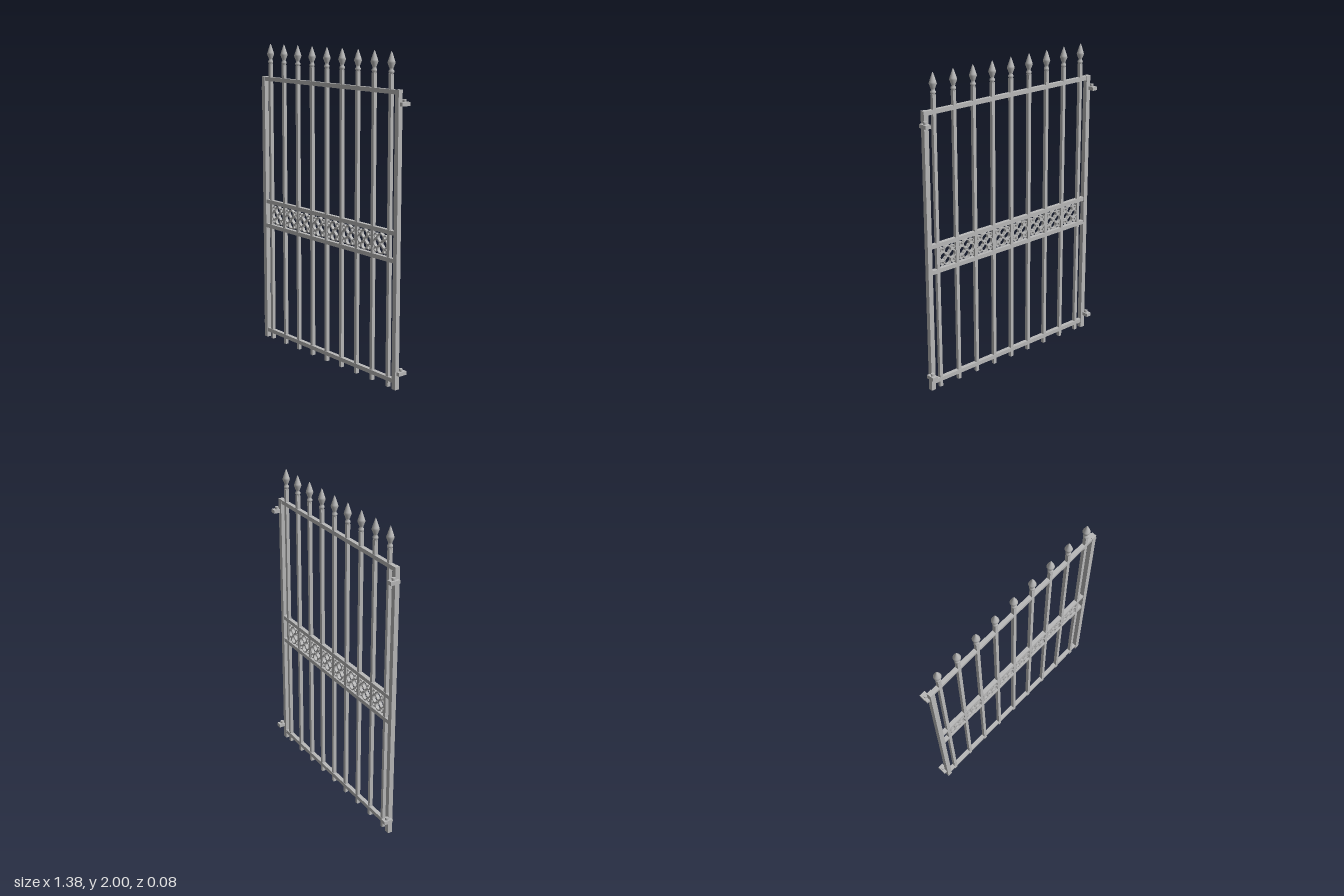
import * as THREE from 'three';

export function createModel() {
  const gate = new THREE.Group();
  gate.name = 'gate';
  const iron = new THREE.MeshStandardMaterial({ color: 0xbababa });
  iron.name = 'grey iron';
  const Z = 0.016; // plane of the gate leaf

  const add = (name, geometry, x, y, z, parent = gate) => {
    const mesh = new THREE.Mesh(geometry, iron);
    mesh.name = name;
    mesh.position.set(x, y, z);
    parent.add(mesh);
    return mesh;
  };

  // Flat-sided ring bent from strip, centred on its depth
  const stripRing = (outer, inner, depth) => {
    const shape = new THREE.Shape().absarc(0, 0, outer, 0, Math.PI * 2);
    shape.holes.push(new THREE.Path().absarc(0, 0, inner, 0, Math.PI * 2, true));
    const geometry = new THREE.ExtrudeGeometry(shape, { depth, bevelEnabled: false, curveSegments: 24 });
    return geometry.translate(0, 0, -depth / 2);
  };

  // Side posts
  const postGeo = new THREE.BoxGeometry(0.032, 1.785, 0.03);
  for (const s of [-1, 1]) add('sidePost', postGeo, s * 0.655, 1.785 / 2, Z);

  // Horizontal rails
  const railGeo = new THREE.BoxGeometry(1.29, 0.026, 0.026);
  for (const y of [0.052, 0.785, 0.951, 1.77]) add('rail', railGeo, 0, y, Z);

  // Upright square bars with spear heads
  const step = 0.1475;
  const barGeo = new THREE.BoxGeometry(0.022, 1.87, 0.022);
  const spearProfile = [
    [0.011, 1.855], [0.012, 1.872], [0.0165, 1.878], [0.0165, 1.887],
    [0.0105, 1.895], [0.0125, 1.904], [0.0235, 1.932], [0.0205, 1.943],
    [0.0125, 1.968], [0.005, 1.99], [0, 2],
  ].map(([r, y]) => new THREE.Vector2(r, y));
  const spearGeo = new THREE.LatheGeometry(spearProfile, 20);
  for (let i = -4; i <= 4; i++) {
    add('uprightBar', barGeo, i * step, 0.935, Z);
    add('spearHead', spearGeo, i * step, 0, Z);
  }

  // Ornamental band: four petal rings with small corner rings in each bay
  const petalGeo = stripRing(0.03, 0.0225, 0.02);
  const cornerGeo = stripRing(0.0155, 0.009, 0.018);
  for (let i = 0; i < 8; i++) {
    const ornament = new THREE.Group();
    ornament.name = 'quatrefoil';
    ornament.position.set((i - 3.5) * step, 0.868, Z);
    for (let k = 0; k < 4; k++) {
      const a = (k * Math.PI) / 2;
      const d = a + Math.PI / 4;
      add('petalRing', petalGeo, 0.034 * Math.cos(a), 0.034 * Math.sin(a), 0, ornament);
      add('cornerRing', cornerGeo, 0.06 * Math.cos(d), 0.06 * Math.sin(d), 0, ornament);
    }
    gate.add(ornament);
  }

  // Hinges: a plate reaching behind each post, with an upright pin
  const plateGeo = new THREE.BoxGeometry(0.037, 0.023, 0.06);
  const pinGeo = new THREE.CylinderGeometry(0.011, 0.011, 0.036, 16);
  for (const s of [-1, 1]) {
    for (const y of [0.1, 1.703]) {
      add('hingePlate', plateGeo, s * 0.6735, y, -0.01);
      add('hingePin', pinGeo, s * 0.673, y + 0.009, -0.012);
    }
  }

  return gate;
}
